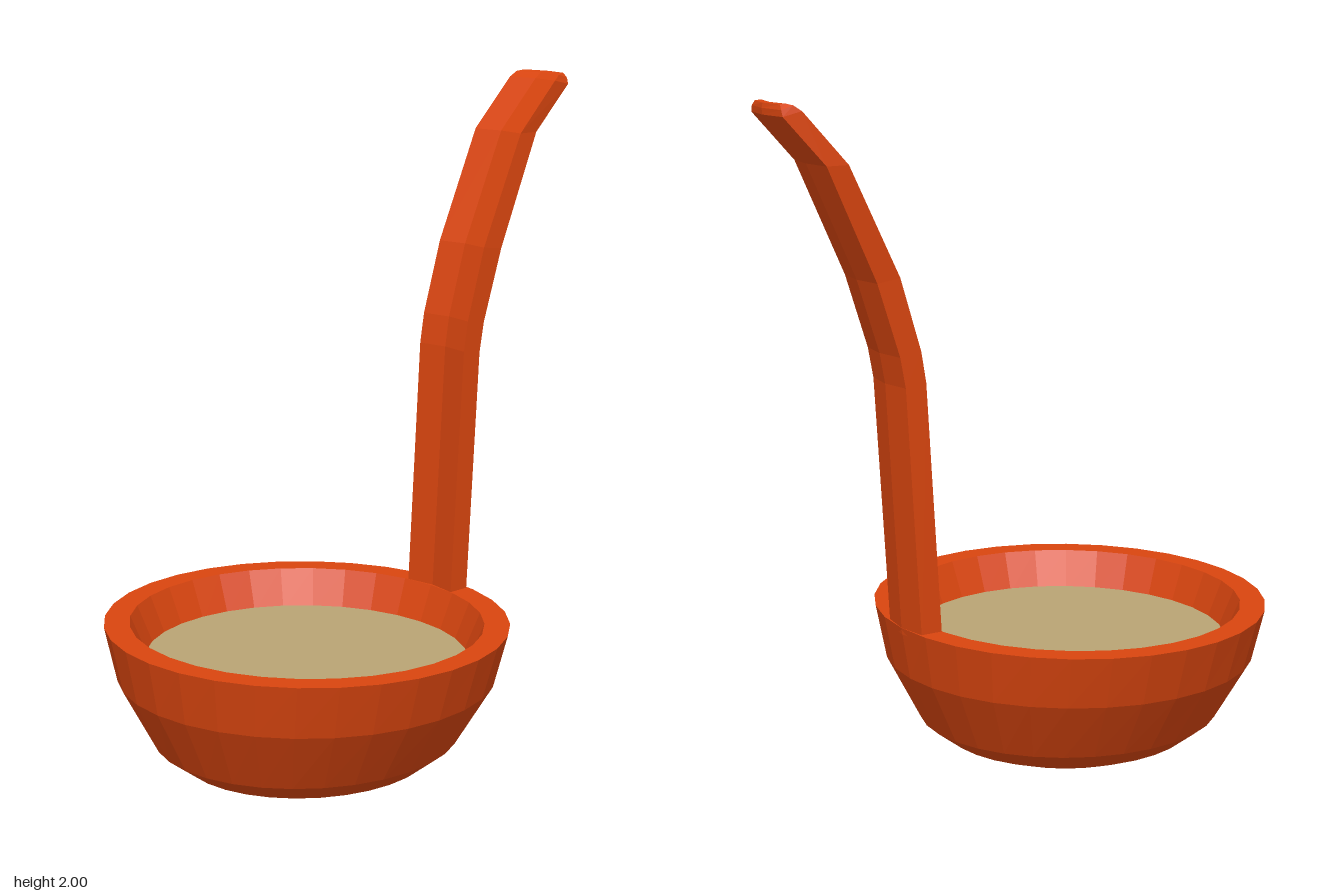
import * as THREE from 'three';

const SIDES = 32;
const BOWL_X = -0.207;

// Joins successive cross-section loops (counter-clockwise around the direction of travel)
function skin(loops, capStart, capEnd) {
  const pos = [];
  const tri = (a, b, c) => pos.push(...a, ...b, ...c);
  for (let k = 0; k < loops.length - 1; k++) {
    const a = loops[k], b = loops[k + 1], n = a.length;
    for (let i = 0; i < n; i++) {
      const j = (i + 1) % n;
      tri(a[i], a[j], b[j]);
      tri(a[i], b[j], b[i]);
    }
  }
  const cap = (loop, flip) => {
    const n = loop.length;
    const c = [0, 1, 2].map(d => loop.reduce((s, p) => s + p[d], 0) / n);
    for (let i = 0; i < n; i++) {
      const p = loop[i], q = loop[(i + 1) % n];
      if (flip) tri(c, q, p); else tri(c, p, q);
    }
  };
  if (capStart) cap(loops[0], true);
  if (capEnd) cap(loops[loops.length - 1], false);
  const g = new THREE.BufferGeometry();
  g.setAttribute('position', new THREE.Float32BufferAttribute(pos, 3));
  g.computeVertexNormals();
  return g;
}

// Elliptical horizontal ring of the bowl
function ring([y, rx, rz]) {
  return Array.from({ length: SIDES }, (_, i) => {
    const a = (i / SIDES) * Math.PI * 2;
    return [BOWL_X + rx * Math.cos(a), y, -rz * Math.sin(a)];
  });
}

// Slightly bowed strap section: inner edge, outer edge, z centre, half width
function strap([xi, yi, xo, yo, zc, hw]) {
  const bow = 0.014;
  return [
    [xo, yo, zc], [xo - bow, yo, zc - hw], [xi, yi, zc - hw],
    [xi + bow, yi, zc], [xi, yi, zc + hw], [xo - bow, yo, zc + hw],
  ];
}

export function createModel() {
  const group = new THREE.Group();
  const orange = new THREE.MeshStandardMaterial({ color: 0xd9450f, flatShading: true });
  orange.name = 'orange';
  const tan = new THREE.MeshStandardMaterial({ color: 0xb9a474 });
  tan.name = 'tan';
  const grey = new THREE.MeshStandardMaterial({ color: 0xb8b8b8 });
  grey.name = 'grey';

  const add = (name, geometry, material) => {
    const m = new THREE.Mesh(geometry, material);
    m.name = name;
    group.add(m);
    return m;
  };

  // Bowl: outside from base to rim, then down the inner wall
  add('bowl', skin([
    [0, 0.2, 0.17], [0.015, 0.29, 0.275], [0.05, 0.38, 0.36], [0.11, 0.46, 0.437],
    [0.3, 0.555, 0.56], [0.46, 0.583, 0.61],
    [0.46, 0.508, 0.535], [0.34, 0.46, 0.483],
  ].map(ring)), orange);

  // Flat discs: soup surface and underside of the base
  const disc = (name, y, rx, rz, up, material) => {
    const g = new THREE.CircleGeometry(1, SIDES).rotateX(up ? -Math.PI / 2 : Math.PI / 2);
    g.scale(rx, 1, rz);
    add(name, g, material).position.set(BOWL_X, y, 0);
  };
  disc('soup', 0.352, 0.465, 0.488, true, tan);
  disc('base', 0, 0.2, 0.17, false, grey);

  // Handle: upright strap curving outward to a rounded tip
  add('handle', skin([
    [0.293, 0.44, 0.374, 0.44, 0, 0.093],
    [0.34, 1.2, 0.42, 1.19, 0, 0.094],
    [0.355, 1.29, 0.437, 1.28, 0, 0.094],
    [0.42, 1.505, 0.507, 1.495, 0, 0.094],
    [0.585, 1.83, 0.667, 1.83, -0.016, 0.095],
    [0.715, 1.98, 0.787, 1.967, 0, 0.094],
    [0.738, 1.996, 0.788, 1.985, 0, 0.088],
    [0.752, 2, 0.785, 1.999, 0, 0.075],
  ].map(strap), true, true), orange);

  return group;
}
